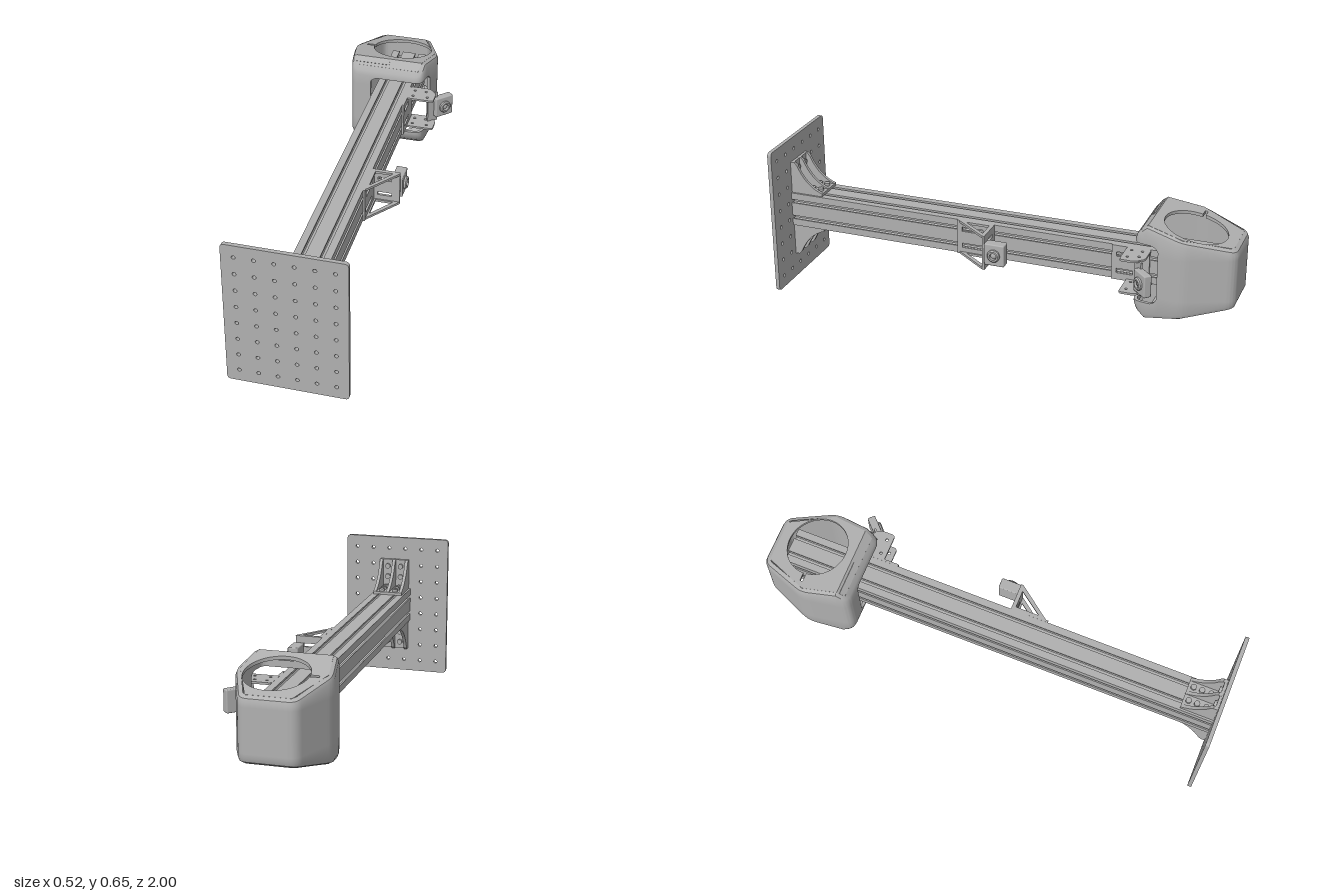
import * as THREE from 'three';
import { mergeGeometries, toCreasedNormals } from 'three/addons/utils/BufferGeometryUtils.js';
import { RoundedBoxGeometry } from 'three/addons/geometries/RoundedBoxGeometry.js';

const grey = new THREE.MeshStandardMaterial({ color: 0xb0b0b0, side: THREE.DoubleSide });
grey.name = 'greyMetal';
const CX = -0.005, CY = 0.328; // beam axis

function add(parent, name, geo, x = 0, y = 0, z = 0) {
  const m = new THREE.Mesh(geo, grey);
  m.name = name;
  m.position.set(x, y, z);
  parent.add(m);
  return m;
}
const box = (w, h, d) => new THREE.BoxGeometry(w, h, d);
const extrude = (shape, depth, curveSegments = 16) =>
  new THREE.ExtrudeGeometry(shape, { depth, bevelEnabled: false, curveSegments });
const poly = pts => new THREE.Shape(pts.map(p => new THREE.Vector2(p[0], p[1])));
const circle = (x, y, r) => new THREE.Path().absarc(x, y, r, 0, Math.PI * 2, true);
const rectHole = (x, y, w, h) => new THREE.Path([[-1, -1], [-1, 1], [1, 1], [1, -1]]
  .map(([a, b]) => new THREE.Vector2(x + a * w / 2, y + b * h / 2)));

// Polygon with its corners rounded off by distance r
function roundedPoly(pts, r) {
  const s = new THREE.Shape(), v = pts.map(p => new THREE.Vector2(...p)), n = v.length;
  v.forEach((p, i) => {
    const a = v[(i + n - 1) % n].clone().sub(p).setLength(r).add(p);
    const b = v[(i + 1) % n].clone().sub(p).setLength(r).add(p);
    i ? s.lineTo(a.x, a.y) : s.moveTo(a.x, a.y);
    s.quadraticCurveTo(p.x, p.y, b.x, b.y);
  });
  s.closePath();
  return s;
}

// Mounting plate with a grid of holes
function basePlate(g) {
  const s = roundedPoly([[-0.26, 0], [0.23, 0], [0.23, 0.65], [-0.26, 0.65]], 0.018);
  for (let i = 0; i < 6; i++) for (let j = 0; j < 8; j++)
    s.holes.push(circle(-0.209 + i * 0.0778, 0.053 + j * 0.0777, 0.0078));
  add(g, 'basePlate', extrude(s, 0.017), 0, 0, 0.983);
}

// Square beam with two T slots on every side
function beam(g) {
  const W = 0.0765, pts = [];
  for (let k = 0; k < 4; k++) {
    const side = [[-W, -W]];
    for (const c of [-0.038, 0.038]) {
      const half = [[0.008, 0], [0.008, 0.008], [0.016, 0.008], [0.009, 0.022]];
      half.forEach(([a, d]) => side.push([c - a, -W + d]));
      half.slice().reverse().forEach(([a, d]) => side.push([c + a, -W + d]));
    }
    const co = [1, 0, -1, 0][k], si = [0, 1, 0, -1][k];
    side.forEach(([x, y]) => pts.push([x * co - y * si, x * si + y * co]));
  }
  const s = poly(pts);
  for (const x of [-0.038, 0.038]) for (const y of [-0.038, 0.038]) s.holes.push(circle(x, y, 0.008));
  add(g, 'beam', extrude(s, 1.923), CX, CY, -0.94);
}

// Ribbed corner brackets above and below the beam
function cornerBracket(g, angle) {
  const b = new THREE.Group();
  b.name = 'cornerBracket';
  b.position.set(CX, CY, 0.983);
  b.rotation.z = angle;
  const rib = new THREE.Shape();
  rib.moveTo(0, 0.0765);
  rib.lineTo(0.145, 0.0765);
  rib.lineTo(0.145, 0.09);
  rib.quadraticCurveTo(0.07, 0.115, 0.03, 0.205);
  rib.lineTo(0.018, 0.218);
  rib.lineTo(0, 0.218);
  const ribs = [-0.068, -0.007, 0.054].map(x =>
    extrude(rib, 0.014).rotateY(Math.PI / 2).translate(x, 0, 0));
  add(b, 'ribs', mergeGeometries(ribs));
  add(b, 'foot', box(0.13, 0.012, 0.145), 0, 0.0825, -0.0725);
  add(b, 'back', box(0.13, 0.14, 0.012), 0, 0.147, -0.006);
  for (const x of [-0.031, 0.031]) {
    for (const z of [-0.045, -0.085, -0.122]) {
      add(b, 'bolt', new THREE.CylinderGeometry(0.012, 0.012, 0.012, 20), x, 0.0945, z);
    }
    for (const y of [0.135, 0.185])
      add(b, 'bolt', new THREE.CylinderGeometry(0.012, 0.012, 0.012, 20).rotateX(Math.PI / 2), x, y, -0.017);
  }
  g.add(b);
}

// Small camera facing its own +z
function camera(g, name, x, y, z, angle, depth) {
  const c = new THREE.Group();
  c.name = name;
  c.position.set(x, y, z);
  c.rotation.y = angle;
  add(c, 'cameraBody', new RoundedBoxGeometry(0.088, 0.096, depth, 2, 0.005));
  const ring = [[0.015, 0], [0.027, 0], [0.027, 0.008], [0.022, 0.013], [0.015, 0.013], [0.015, 0]]
    .map(p => new THREE.Vector2(...p));
  add(c, 'lensRing', toCreasedNormals(new THREE.LatheGeometry(ring, 28).rotateX(Math.PI / 2), 0.5), 0, 0, depth / 2);
  add(c, 'lens', new THREE.SphereGeometry(0.014, 20, 10).scale(1, 1, 0.6), 0, 0, depth / 2);
  g.add(c);
}

// Triangular side bracket with the middle camera
function sideBracket(g) {
  const b = new THREE.Group();
  b.name = 'sideBracket';
  const tri = poly([[0.072, 0.2], [0.072, 0.035], [0.19, 0.035], [0.19, 0.045]]);
  tri.holes.push(new THREE.Path([[0.087, 0.155], [0.163, 0.052], [0.087, 0.052]].map(p => new THREE.Vector2(...p))));
  for (const y of [0.405, 0.261])
    add(b, 'triangleWeb', extrude(tri, 0.01).rotateX(Math.PI / 2), 0, y, 0);
  const flange = poly([[-0.2, 0.251], [-0.035, 0.251], [-0.035, 0.405], [-0.2, 0.405]]);
  const face = poly([[0.072, 0.251], [0.19, 0.251], [0.19, 0.405], [0.072, 0.405]]);
  for (const y of [0.291, 0.366]) {
    flange.holes.push(rectHole(-0.13, y, 0.095, 0.02));
    face.holes.push(rectHole(0.125, y, 0.06, 0.015));
  }
  add(b, 'beamFlange', extrude(flange, 0.009).rotateY(Math.PI / 2), 0.071, 0, 0);
  add(b, 'cameraFlange', extrude(face, 0.01), 0, 0, 0.035);
  camera(b, 'middleCamera', 0.176, CY, -0.01, Math.PI / 2, 0.046);
  g.add(b);
}

// Rear side mount made of two plates, with an angled camera
function rearMount(g) {
  const b = new THREE.Group();
  b.name = 'rearMount';
  const s = roundedPoly([[0.072, -0.645], [0.165, -0.645], [0.197, -0.61], [0.197, -0.545], [0.072, -0.545]], 0.015);
  for (const [x, z] of [[0.1, -0.615], [0.1, -0.57], [0.15, -0.615], [0.165, -0.57]]) s.holes.push(circle(x, z, 0.006));
  for (const y of [0.405, 0.26]) add(b, 'mountPlate', extrude(s, 0.009).rotateX(Math.PI / 2), 0, y, 0);
  const flange = poly([[0.48, 0.251], [0.64, 0.251], [0.64, 0.405], [0.48, 0.405]]);
  for (const y of [0.291, 0.366]) flange.holes.push(rectHole(0.535, y, 0.07, 0.02));
  add(b, 'beamFlange', extrude(flange, 0.009).rotateY(Math.PI / 2), 0.071, 0, 0);
  add(b, 'post', box(0.05, 0.146, 0.009), 0.178, CY, -0.622).rotation.y = Math.PI / 4;
  add(b, 'cameraLink', box(0.03, 0.04, 0.03), 0.193, CY, -0.637).rotation.y = Math.PI / 4;
  camera(b, 'rearCamera', 0.219, CY, -0.652, Math.PI / 4, 0.034);
  g.add(b);
}

// Hollow six-sided housing: height falls to the rear, with a front chamfer
const HX = -0.028, EDGE = -0.64, THICK = 0.014;
const halfHeight = z => z < EDGE ? 0.2075 + (z - EDGE) * 0.218 : 0.2075 - (z - EDGE) * 0.88;
const hexagon = d => [[-0.112 + d, -1 + d], [0.112 - d, -1 + d], [0.195 - d, -0.79],
  [0.16 - d, -0.587 - d], [-0.16 + d, -0.587 - d], [-0.195 + d, -0.79]].map(([x, z]) => [x + HX, z]);

function housingWalls(g) {
  const N = 200, pts = roundedPoly(hexagon(0), 0.035).getSpacedPoints(N).slice(0, N);
  const pos = [];
  const quad = (a, b, c, d) => [a, b, c, a, c, d].forEach(p => pos.push(...p));
  const inOpening = p => p.x > -0.106 && p.y > -0.695;
  // opening half height, with rounded corners at both ends
  const gap = p => {
    const d = Math.min(p.y + 0.695, p.x + 0.106), r = 0.04;
    if (d >= r) return 0.13;
    const e = r - Math.max(d, 0);
    return 0.09 + Math.sqrt(r * r - e * e);
  };
  const section = i => {
    const p = pts[i % N], t = pts[(i + 1) % N].clone().sub(pts[(i + N - 1) % N]).normalize();
    const at = (inset, drop, o) => {
      const x = p.x - t.y * inset, z = p.y + t.x * inset;
      const h = o ?? halfHeight(z) - drop;
      return [[x, CY + h, z], [x, CY - h, z]];
    };
    const o = gap(p);
    const up = [at(0, 0, o), at(0, 0.022), at(0.006, 0.007), at(0.022, 0)];
    const inn = [at(THICK, 0, o), at(THICK, THICK)];
    const full = r => [...r.map(q => q[1]).reverse(), ...r.map(q => q[0])];
    return { p, outer: full(up), inner: full(inn) };
  };
  for (let i = 0; i < N; i++) {
    const a = section(i), b = section(i + 1), open = inOpening(a.p) && inOpening(b.p);
    for (let k = 0; k < 7; k++)
      if (!(open && k === 3)) quad(a.outer[k], a.outer[k + 1], b.outer[k + 1], b.outer[k]);
    for (let k = 0; k < 3; k++)
      if (!(open && k === 1)) quad(a.inner[k], b.inner[k], b.inner[k + 1], a.inner[k + 1]);
    if (open) { // rim of the opening
      quad(a.outer[3], b.outer[3], b.inner[1], a.inner[1]);
      quad(a.outer[4], a.inner[2], b.inner[2], b.outer[4]);
      for (const [q, j] of [[a, i + N - 1], [b, i + 2]])
        if (!inOpening(pts[j % N])) quad(q.outer[3], q.outer[4], q.inner[2], q.inner[1]);
    }
  }
  const geo = new THREE.BufferGeometry();
  geo.setAttribute('position', new THREE.Float32BufferAttribute(pos, 3));
  add(g, 'housingWalls', toCreasedNormals(geo, 0.6));
}

function housingLids(g) {
  const rim = roundedPoly(hexagon(0.021), 0.028).getSpacedPoints(160);
  const cut = (keep, clampZ) => poly(rim.filter(p => keep(p.y)).map(p => [p.x, p.y]));
  // rear part up to the ridge carries the round hole with its notch
  const rear = roundedPoly([...hexagon(0.021).slice(0, 3), [0.149 + HX, EDGE], [-0.149 + HX, EDGE], hexagon(0.021)[5]], 0.004);
  const a = 0.05, hole = new THREE.Path();
  hole.absarc(CX, -0.807, 0.13, Math.PI - a, -Math.PI + a, true);
  hole.lineTo(-0.172, -0.813);
  hole.lineTo(-0.172, -0.801);
  hole.closePath();
  rear.holes.push(hole);
  const front = poly([[-0.15, EDGE], [0.15, EDGE], [0.139, -0.608], [-0.139, -0.608]].map(([x, z]) => [x + HX, z]));
  for (const sign of [1, -1]) for (const [name, shape] of [['housingLid', rear], ['housingChamfer', front]]) {
    const geo = extrude(shape, THICK, 40).rotateX(Math.PI / 2), p = geo.attributes.position;
    for (let i = 0; i < p.count; i++)
      p.setY(i, p.getY(i) + CY + sign * halfHeight(p.getZ(i)) + (sign < 0 ? THICK : 0));
    geo.computeVertexNormals();
    add(g, name, toCreasedNormals(geo, 0.5));
  }
  // raised seam strips along the chamfers
  for (const sign of [1, -1]) {
    const m = add(g, 'seamStrip', box(0.15, 0.004, 0.016), HX - 0.07, CY + sign * 0.194, -0.624);
    m.rotation.x = sign * 0.72;
  }
}

export function createModel() {
  const g = new THREE.Group();
  g.name = 'sensorArm';
  basePlate(g);
  beam(g);
  cornerBracket(g, 0);
  cornerBracket(g, Math.PI);
  sideBracket(g);
  rearMount(g);
  const housing = new THREE.Group();
  housing.name = 'housing';
  housingWalls(housing);
  housingLids(housing);
  g.add(housing);
  return g;
}
